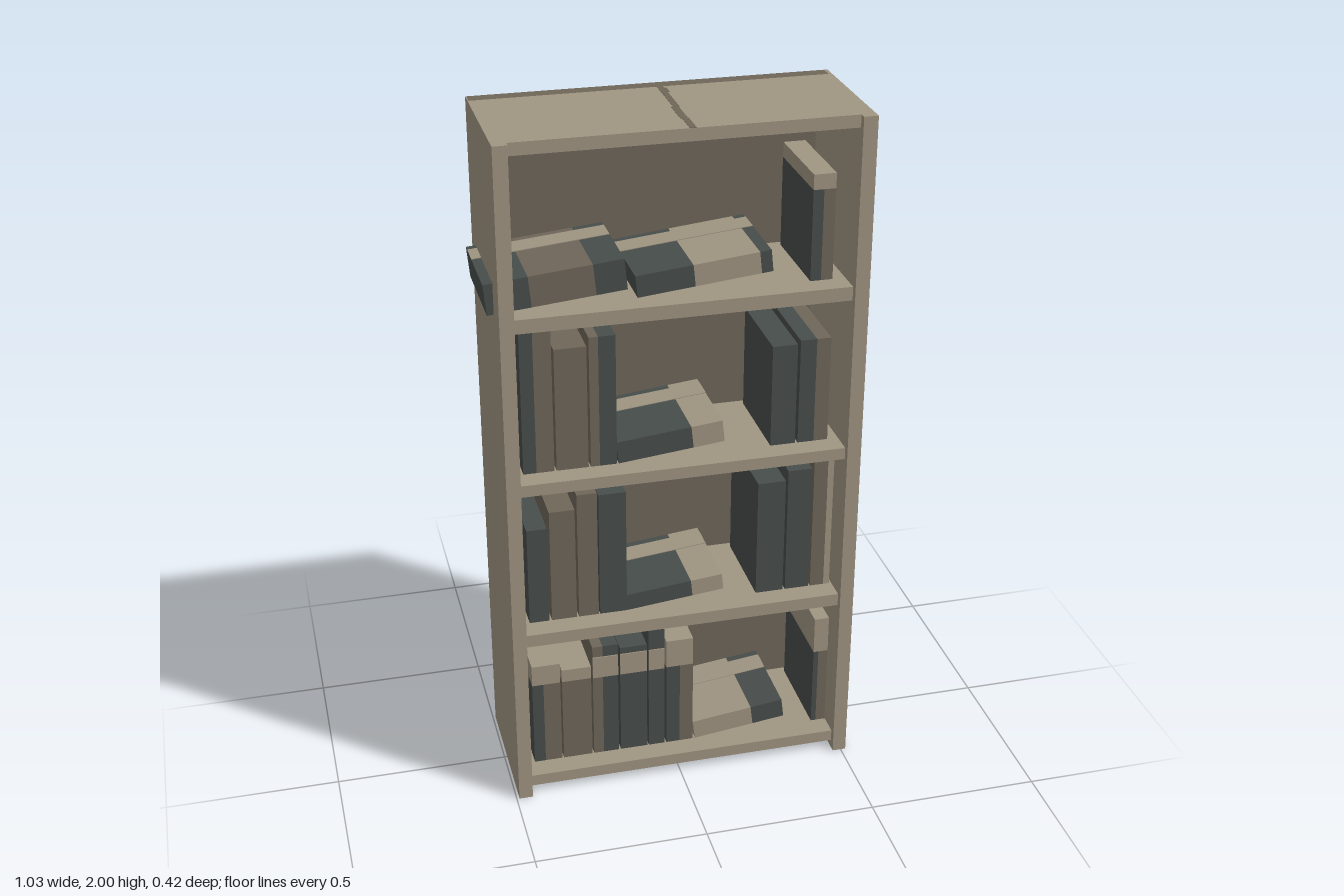
import * as THREE from 'three';

const wood = new THREE.MeshStandardMaterial({ color: 0xa19683 });
wood.name = 'light wood';
const brown = new THREE.MeshStandardMaterial({ color: 0x70675a });
brown.name = 'dark brown';
const slate = new THREE.MeshStandardMaterial({ color: 0x484e4b });
slate.name = 'slate';

// Box given by its minimum and maximum corners
function block(parent, name, mat, x0, x1, y0, y1, z0, z1) {
  const mesh = new THREE.Mesh(new THREE.BoxGeometry(x1 - x0, y1 - y0, z1 - z0), mat);
  mesh.position.set((x0 + x1) / 2, (y0 + y1) / 2, (z0 + z1) / 2);
  mesh.name = name;
  parent.add(mesh);
}

const BACK = -0.15, FRONT = 0.125;

// Upright book: bands run [material, right edge], cap is the start of the pale top band
function standingBook(parent, x0, base, top, bands, cap = top) {
  const book = new THREE.Group();
  book.name = 'standingBook';
  let x = x0;
  for (const [mat, end] of bands) {
    block(book, 'bookBody', mat, x, end, base, cap, BACK, FRONT);
    x = end;
  }
  if (cap < top) block(book, 'paleBand', wood, x0, x, cap, top, BACK, FRONT);
  parent.add(book);
}

// Book lying on its side, tilted about its lower left corner
function lyingBook(parent, x, y, thickness, degrees, bands) {
  const book = new THREE.Group();
  book.name = 'lyingBook';
  let start = 0;
  for (const [mat, end] of bands) {
    block(book, 'bookBody', mat, start, end, 0, thickness, BACK, FRONT);
    start = end;
  }
  block(book, 'coverStripe', wood, 0, start, thickness - 0.003, thickness + 0.002, -0.125, -0.055);
  book.position.set(x, y, 0);
  book.rotation.z = THREE.MathUtils.degToRad(degrees);
  parent.add(book);
}

export function createModel() {
  const model = new THREE.Group();
  model.name = 'bookcase';

  // Case: sides wrap the edges of the back panel
  block(model, 'rightSide', wood, -0.492, -0.452, 0, 2, -0.17, 0.21);
  block(model, 'leftSide', wood, 0.475, 0.515, 0, 2, -0.17, 0.21);
  block(model, 'rightBackEdge', wood, -0.492, -0.489, 0, 2, -0.21, -0.17);
  block(model, 'leftBackEdge', wood, 0.505, 0.515, 0, 2, -0.21, -0.17);
  block(model, 'backPanel', brown, -0.489, 0.505, 0, 2, -0.21, -0.17);

  // Shelves and top board
  for (const [y0, y1] of [[0.025, 0.06], [0.51, 0.548], [0.995, 1.03], [1.48, 1.52]])
    block(model, 'shelf', wood, -0.452, 0.475, y0, y1, -0.17, 0.19);
  block(model, 'topBoard', wood, -0.452, 0.475, 1.965, 2, -0.17, 0.19);

  // Dark crack across the top board
  for (const [x0, x1, z0, z1] of [[0.02, 0.037, -0.17, 0.01], [0.037, 0.043, -0.155, -0.115],
    [0.014, 0.034, 0.01, 0.11], [0.018, 0.036, 0.11, 0.19]])
    block(model, 'topCrack', brown, x0, x1, 1.996, 2.001, z0, z1);

  // Bottom row
  const a = 0.06;
  standingBook(model, -0.428, a, 0.395, [[slate, -0.395], [brown, -0.345]], 0.33);
  standingBook(model, -0.34, a, 0.37, [[brown, -0.253]], 0.33);
  standingBook(model, -0.248, a, 0.435, [[brown, -0.218], [slate, -0.172]], 0.435);
  standingBook(model, -0.166, a, 0.42, [[slate, -0.085]]);
  standingBook(model, -0.08, a, 0.48, [[slate, -0.032]]);
  standingBook(model, -0.026, a, 0.42, [[slate, 0.015], [brown, 0.055]], 0.33);
  // Pale label bands on the spines
  for (const [x0, x1] of [[-0.248, -0.172], [-0.166, -0.085], [-0.08, -0.032]])
    block(model, 'spineLabel', wood, x0, x1, 0.33, 0.4, FRONT, FRONT + 0.003);
  lyingBook(model, 0.063, a, 0.06, 7, [[wood, 0.182], [slate, 0.28]]);
  standingBook(model, 0.43, a, 0.425, [[slate, 0.445], [brown, 0.474]], 0.31);

  // Second row
  const b = 0.548;
  standingBook(model, -0.428, b, 0.85, [[slate, -0.37]]);
  standingBook(model, -0.363, b, 0.9, [[brown, -0.29]]);
  standingBook(model, -0.284, b, 0.945, [[brown, -0.226]]);
  standingBook(model, -0.222, b, 0.937, [[slate, -0.143]]);
  lyingBook(model, -0.142, b, 0.05, 6, [[slate, 0.195], [wood, 0.288]]);
  standingBook(model, 0.243, b, 0.91, [[slate, 0.325]]);
  standingBook(model, 0.332, b, 0.94, [[slate, 0.403]]);
  standingBook(model, 0.409, b, 0.96, [[brown, 0.45], [wood, 0.468]]);

  // Third row
  const c = 1.03;
  standingBook(model, -0.43, c, 1.45, [[slate, -0.393], [brown, -0.343]]);
  standingBook(model, -0.337, c, 1.395, [[brown, -0.247]]);
  standingBook(model, -0.241, c, 1.42, [[brown, -0.215], [slate, -0.167]]);
  lyingBook(model, -0.162, c, 0.065, 6, [[slate, 0.215], [wood, 0.305]]);
  standingBook(model, 0.275, c, 1.335, [[slate, 0.347]]);
  standingBook(model, 0.355, c, 1.345, [[slate, 0.402], [brown, 0.443]]);

  // Top row; the first book pokes out through the side
  lyingBook(model, -0.51, 1.512, 0.088, 5.5, [[slate, 0.12], [brown, 0.295], [slate, 0.38]]);
  lyingBook(model, -0.105, 1.521, 0.062, 6, [[slate, 0.16], [wood, 0.345], [slate, 0.377]]);
  standingBook(model, 0.375, 1.52, 1.823, [[slate, 0.405], [brown, 0.438]], 1.78);

  return model;
}
